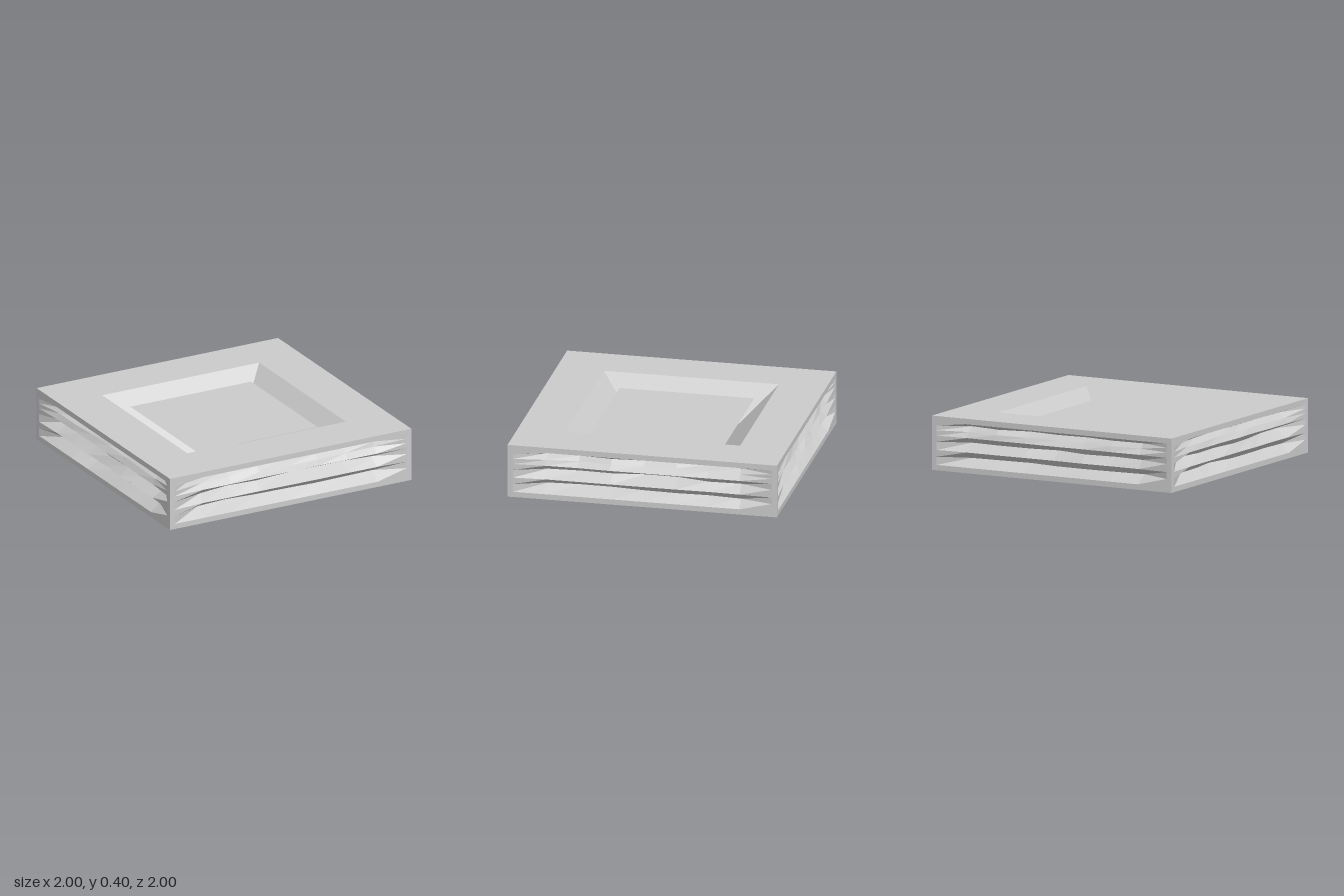
import * as THREE from 'three';

const material = new THREE.MeshStandardMaterial({ color: 0xcccccc, flatShading: true, side: THREE.DoubleSide });

// Repeatable noise in 0..1
function makeNoise(seed) {
  let s = seed;
  return () => (s = (s * 16807) % 2147483647) / 2147483647;
}

// Column positions and, from top to bottom, [height, recess depth] of each course line
const COLUMNS = [-1, -0.96, -0.72, -0.48, -0.24, 0, 0.24, 0.48, 0.72, 0.96, 1];
const COURSES = [
  [0.4, 0], [0.36, 0], [0.33, 0.1], [0.295, 0.05], [0.255, 0.015],
  [0.21, 0.1], [0.15, 0.015], [0.1, 0.1], [0.04, 0], [0, 0],
];

// Stacked-stone wall: a flat border around jagged horizontal grooves
function wallGeometry(seed) {
  const noise = makeNoise(seed);
  const geometry = new THREE.PlaneGeometry(2, 0.4, COLUMNS.length - 1, COURSES.length - 1);
  const position = geometry.attributes.position;
  COURSES.forEach(([y, depth], row) => {
    COLUMNS.forEach((x, col) => {
      const inside = Math.abs(x) < 0.95;
      const recess = inside ? depth * (0.6 + 0.6 * noise()) : 0;
      position.setXYZ(row * COLUMNS.length + col, x, y, 1 - recess);
    });
  });
  geometry.computeVertexNormals();
  return geometry;
}

function square(half, y) {
  return new THREE.PlaneGeometry(half * 2, half * 2).rotateX(-Math.PI / 2).translate(0, y, 0);
}

export function createModel() {
  const group = new THREE.Group();
  const add = (name, geometry) => {
    const mesh = new THREE.Mesh(geometry, material);
    mesh.name = name;
    group.add(mesh);
    return mesh;
  };

  // Four outer walls
  ['frontWall', 'leftWall', 'backWall', 'rightWall'].forEach((name, i) => {
    add(name, wallGeometry(1234 + 7919 * i)).rotation.y = i * Math.PI / 2;
  });

  // Flat rim with a square opening
  const rim = new THREE.Shape([[-1, -1], [1, -1], [1, 1], [-1, 1]].map(p => new THREE.Vector2(...p)));
  const h = 0.65;
  rim.holes.push(new THREE.Path([[-h, -h], [-h, h], [h, h], [h, -h]].map(p => new THREE.Vector2(...p))));
  add('rim', new THREE.ShapeGeometry(rim).rotateX(-Math.PI / 2).translate(0, 0.4, 0));

  // Tapering square basin and its bottom
  const base = 0.236;
  add('basin', new THREE.CylinderGeometry(h * Math.SQRT2, base * Math.SQRT2, 0.4, 4, 1, true)
    .rotateY(Math.PI / 4).translate(0, 0.2, 0));
  add('basinBottom', square(base, 0));

  // Level surface filling the basin
  add('fillSurface', square(0.5, 0.334));

  return group;
}
